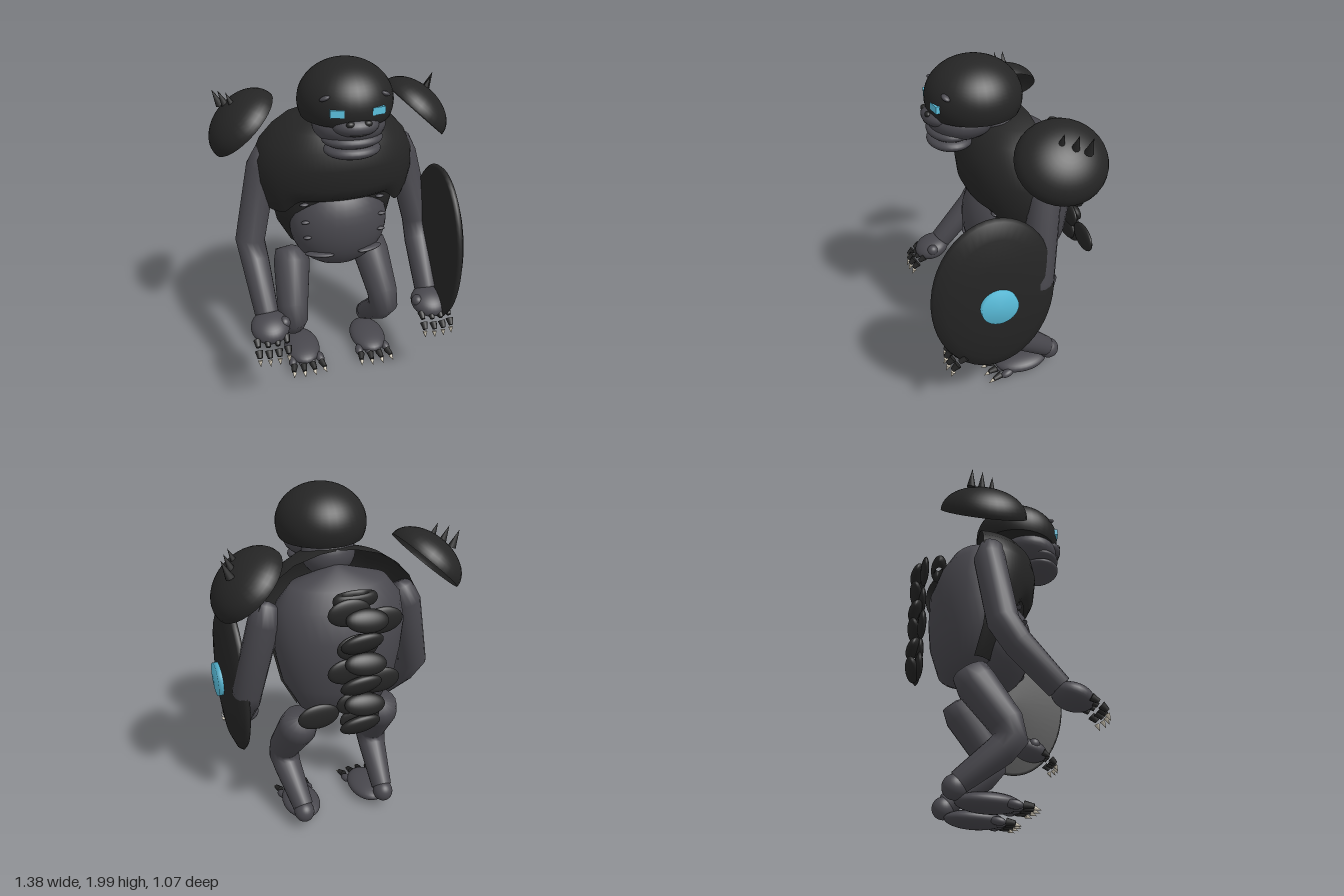
import * as THREE from 'three';

const mat = (name, color, side = THREE.FrontSide) => {
  const m = new THREE.MeshStandardMaterial({ color, side });
  m.name = name;
  return m;
};

export function createModel() {
  const model = new THREE.Group();
  const hide = mat('greyHide', 0x48474d);
  const armour = mat('blackArmour', 0x252525, THREE.DoubleSide);
  const glow = mat('blueGlow', 0x5bc0de);
  const ivory = mat('ivoryClaw', 0xc9c1b0);

  const add = (name, geo, material, pos = [0, 0, 0], rot = [0, 0, 0], scale = [1, 1, 1]) => {
    const m = new THREE.Mesh(geo, material);
    m.name = name;
    m.position.set(...pos);
    m.rotation.set(...rot);
    m.scale.set(...scale);
    model.add(m);
    return m;
  };
  const ball = new THREE.SphereGeometry(1, 28, 18);
  const blob = (name, material, pos, radii, rot) => add(name, ball, material, pos, rot, radii);
  const lathe = points => new THREE.LatheGeometry(points.map(([x, y]) => new THREE.Vector2(x, y)), 48);

  // Surface through rows of points, closed around or open
  function grid(rows, cols, closed, point) {
    const pos = [], idx = [], w = closed ? cols : cols + 1;
    for (let i = 0; i < rows; i++)
      for (let j = 0; j < w; j++) pos.push(...point(i, j / cols));
    for (let i = 0; i < rows - 1; i++)
      for (let j = 0; j < cols; j++) {
        const a = i * w + j, b = i * w + (j + 1) % w;
        idx.push(a, b, a + w, b, b + w, a + w);
      }
    const g = new THREE.BufferGeometry();
    g.setAttribute('position', new THREE.Float32BufferAttribute(pos, 3));
    g.setIndex(idx);
    g.computeVertexNormals();
    return g;
  }

  // Tapered limb through [x, y, z, radius] joints with closed ends
  function limb(joints) {
    const p = joints.map(j => new THREE.Vector3(j[0], j[1], j[2])), r = joints.map(j => j[3]);
    const n = p.length;
    const cap = (a, b, ra) => a.clone().add(a.clone().sub(b).setLength(ra * 0.25));
    const first = cap(p[0], p[1], r[0]), last = cap(p[n - 1], p[n - 2], r[n - 1]);
    p.unshift(first); p.push(last);
    r.unshift(0.002); r.push(0.002);
    return grid(p.length, 16, true, (i, f) => {
      const t = p[Math.min(i + 1, n + 1)].clone().sub(p[Math.max(i - 1, 0)]).normalize();
      const u = new THREE.Vector3(1, 0, 0).addScaledVector(t, -t.x).normalize();
      const v = t.clone().cross(u), a = f * Math.PI * 2;
      return p[i].clone().addScaledVector(u, r[i] * Math.cos(a)).addScaledVector(v, r[i] * Math.sin(a)).toArray();
    });
  }

  // Torso: rows of height, half width, centre z, half depth
  const body = [[0.785, 0.01, -0.17, 0.01], [0.793, 0.13, -0.175, 0.07], [0.845, 0.25, -0.18, 0.16], [1.0, 0.33, -0.15, 0.24],
    [1.15, 0.36, -0.14, 0.265], [1.3, 0.375, -0.14, 0.265], [1.45, 0.35, -0.14, 0.215], [1.55, 0.27, -0.14, 0.16], [1.62, 0.01, -0.1, 0.01]];
  add('torso', grid(body.length, 36, true, (i, f) => {
    const [y, w, z, d] = body[i], a = f * Math.PI * 2;
    return [w * Math.sin(a), y, z + d * Math.cos(a)];
  }), hide);
  blob('belly', hide, [0, 1.02, -0.005], [0.288, 0.28, 0.205]);

  // Dark flank plates on the front half of the waist
  const flank = body.slice(2, 6);
  add('flankPlate', grid(flank.length, 28, false, (i, f) => {
    const [y, w, z, d] = flank[i], a = (f - 0.5) * Math.PI * 0.96;
    return [(w + 0.01) * Math.sin(a), y, z + (d + 0.008) * Math.cos(a)];
  }), armour);

  // Chest armour: front shell, open at the back
  const plate = [[1.13, 0.42, 0.28], [1.2, 0.445, 0.31], [1.3, 0.465, 0.34], [1.42, 0.46, 0.355],
    [1.52, 0.415, 0.34], [1.6, 0.34, 0.3], [1.66, 0.25, 0.24], [1.7, 0.1, 0.14], [1.705, 0.01, 0.02]];
  add('chestArmour', grid(plate.length, 48, false, (i, f) => {
    const [y, w, d] = plate[i], a = (f - 0.5) * Math.PI * 1.04;
    const lift = [0.085, 0.04][i] ?? 0;
    return [w * Math.sin(a), y + lift * THREE.MathUtils.smoothstep(Math.cos(a), 0.6, 0.85), -0.13 + d * Math.cos(a)];
  }), armour);
  add('backCollar', new THREE.TorusGeometry(0.088, 0.036, 12, 28), armour, [0, 1.525, -0.36], [Math.PI / 2, 0, 0], [1, 0.37, 1]);

  // Head
  const dome = new THREE.SphereGeometry(1, 36, 20, 0, Math.PI * 2, 0, 1.936);
  add('helmet', dome, armour, [0, 1.79, 0.13], [0, 0, 0], [0.25, 0.21, 0.257]);
  add('helmetBase', new THREE.CircleGeometry(0.934, 36), armour, [0, 1.716, 0.13], [Math.PI / 2, 0, 0], [0.25, 0.257, 1]);
  blob('skull', hide, [0, 1.685, 0.2], [0.192, 0.108, 0.18]);
  blob('muzzle', hide, [0, 1.712, 0.31], [0.125, 0.058, 0.1]);
  blob('lip', hide, [0, 1.628, 0.265], [0.16, 0.047, 0.122]);
  blob('jaw', hide, [0, 1.57, 0.265], [0.15, 0.046, 0.122]);
  blob('mouth', armour, [0, 1.682, 0.35], [0.07, 0.008, 0.05]);
  blob('neck', hide, [0, 1.65, 0.02], [0.15, 0.13, 0.13]);

  // Spine: a tilted outer column over upright scales
  for (let i = 0; i < 6; i++)
    blob('spineScale', armour, [i % 2 ? 0.012 : -0.012, 1.46 - i * 0.122, -0.487],
      [0.115, 0.062, 0.034], [i % 2 ? -0.35 : 0.45, 0, i % 2 ? -0.12 : 0.12]);
  for (const [x, y] of [[0.07, 1.5], [-0.11, 1.43], [0.02, 1.3], [0.07, 1.17], [-0.11, 1.08], [0.02, 0.97], [0.235, 0.93], [0, 0.87]])
    blob('innerScale', armour, [x, y, -0.45], [0.115, 0.073, 0.024]);

  const spike = new THREE.ConeGeometry(1, 1, 10);
  const halfDome = new THREE.SphereGeometry(1, 32, 12, 0, Math.PI * 2, 0, Math.PI / 2);
  const digit = new THREE.CylinderGeometry(0.012, 0.02, 0.04, 8);

  for (const s of [1, -1]) {
    // Face details
    add('eye', new THREE.BoxGeometry(0.07, 0.038, 0.03), glow, [s * 0.104, 1.791, 0.355], [0, s * 0.18, 0]);
    blob('brow', hide, [s * 0.155, 1.858, 0.315], [0.028, 0.012, 0.02], [0, s * 0.5, -s * 0.4]);
    blob('nostril', armour, [s * 0.045, 1.737, 0.385], [0.022, 0.016, 0.016]);

    // Shoulder guard with spikes
    add('shoulderGuard', halfDome, armour, [s * 0.495, 1.597, -0.162], [0, 0, -s * 0.74], [0.225, 0.147, 0.24]);
    for (const [x, y, z] of [[0.624, 1.733, -0.25], [0.597, 1.742, -0.19], [0.562, 1.745, -0.13]])
      add('shoulderSpike', spike, armour, [s * x, y, z], [0, 0, -s * 0.4], [0.024, 0.1, 0.024]);

    // Arm and hand
    add('arm', limb([[s * 0.385, 1.45, -0.1, 0.07], [s * 0.415, 1.36, -0.115, 0.088], [s * 0.515, 0.93, -0.06, 0.086],
      [s * 0.502, 0.82, 0.02, 0.08], [s * 0.485, 0.6, 0.23, 0.068]]), hide);
    blob('hand', hide, [s * 0.48, 0.555, 0.3], [0.109, 0.066, 0.112], [0.3, 0, 0]);
    blob('thumb', hide, [s * 0.4, 0.575, 0.31], [0.034, 0.035, 0.036]);
    for (let i = 0; i < 4; i++) {
      const x = s * (0.405 + i * 0.054), dz = i === 0 || i === 3 ? -0.012 : 0;
      add('fingerKnuckle', digit, armour, [x, 0.517, 0.398 + dz], [2.1, 0, 0], [1.1, 1.1, 1.1]);
      add('fingerTip', digit, armour, [x, 0.475, 0.442 + dz], [2.3, 0, 0], [1.15, 1.05, 1.15]);
      add('fingerClaw', spike, ivory, [x, 0.427, 0.462 + dz], [2.7, 0, 0], [0.014, 0.038, 0.014]);
    }

    // Leg and foot
    add('leg', limb([[s * 0.248, 0.75, -0.19, 0.1], [s * 0.256, 0.68, -0.155, 0.113], [s * 0.29, 0.46, 0.0, 0.095],
      [s * 0.293, 0.38, 0.02, 0.092], [s * 0.287, 0.32, -0.03, 0.083], [s * 0.262, 0.155, -0.235, 0.062]]), hide);
    blob('heel', hide, [s * 0.262, 0.13, -0.257], [0.06, 0.064, 0.064]);
    blob('foot', hide, [s * 0.225, 0.066, -0.085], [0.113, 0.052, 0.17], [0.04, 0, 0]);
    for (let i = 0; i < 4; i++) {
      const f = i - 1.5, x = s * (0.222 + f * 0.058), z = 0.093 - Math.abs(f) * 0.01, yaw = s * f * 0.18;
      blob('toe', hide, [x, 0.048, z - 0.045], [0.027, 0.024, 0.045], [0.2, yaw, 0]);
      add('toeTip', digit, armour, [x + s * f * 0.005, 0.042, z + 0.025], [1.75, 0, -yaw], [1.1, 1.3, 1.1]);
      add('toeClaw', spike, ivory, [x + s * f * 0.01, 0.024, z + 0.068], [1.9, 0, -yaw], [0.013, 0.038, 0.013]);
    }

    // Belly ridges
    for (const [x, y, z] of [[0.22, 1.185, 0.09], [0.222, 1.09, 0.12], [0.215, 1.0, 0.135]])
      blob('ribRidge', hide, [s * x, y, z], [0.026, 0.01, 0.015]);
    blob('waistRidge', hide, [s * 0.15, 0.885, 0.142], [0.085, 0.014, 0.03], [0, s * 0.4, -s * 0.03]);
  }

  // Oval shield on the left arm with a glowing boss
  const shield = lathe([[0.001, -0.005], [0.97, -0.005], [1, 0.01], [0.97, 0.03], [0.8, 0.062], [0.5, 0.081], [0.25, 0.088], [0.001, 0.09]].reverse());
  shield.index.array.reverse();
  shield.computeVertexNormals();
  add('shield', shield, armour, [0.527, 0.888, 0.197], [0, 0, -Math.PI / 2], [0.485, 1, 0.34]);
  const boss = lathe([[0.1, -0.018], [0.1, 0.017], [0.001, 0.018]]);
  add('shieldBoss', boss, glow, [0.627, 0.888, 0.197], [0, 0, -Math.PI / 2]);

  return model;
}
